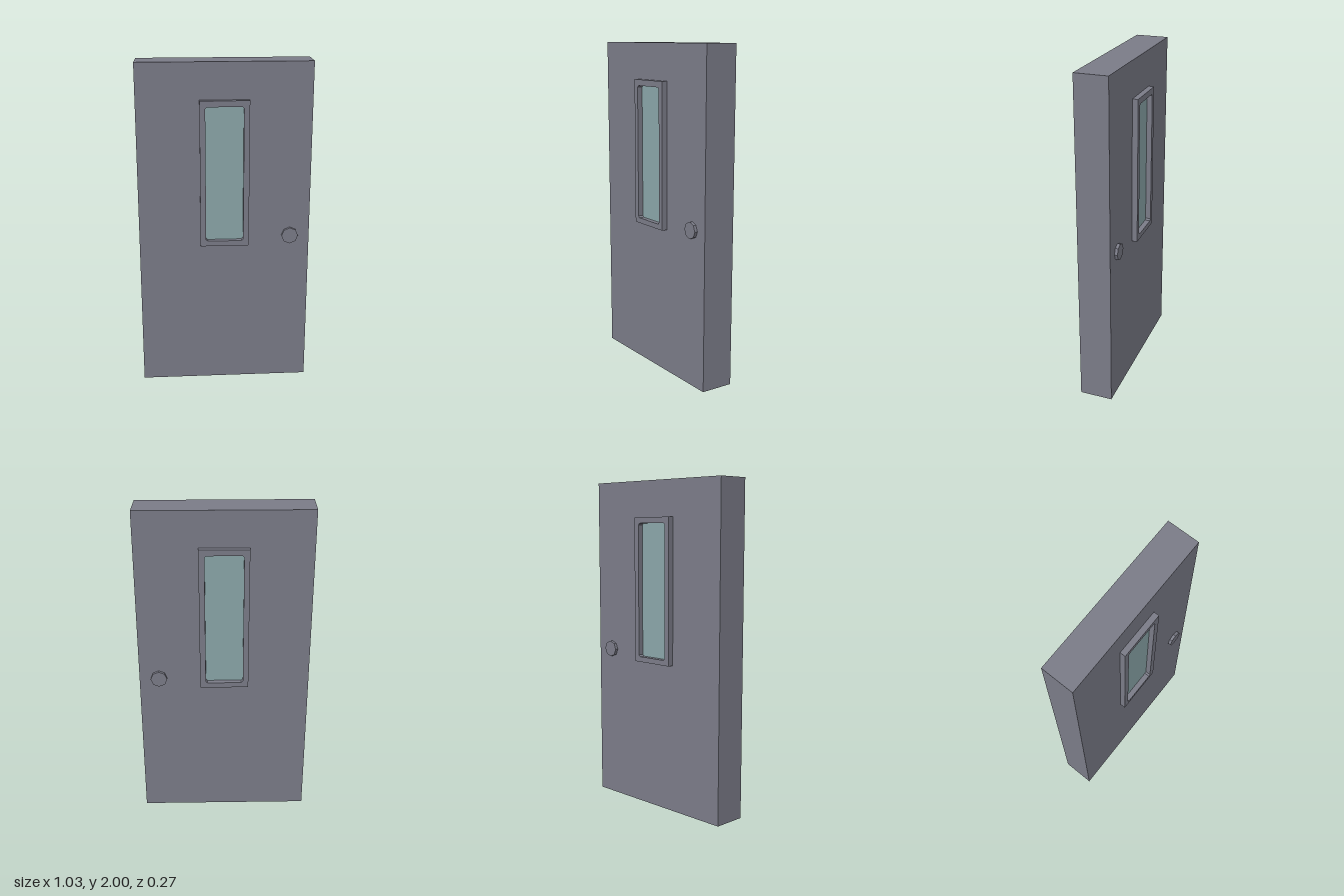
import * as THREE from 'three';

export function createModel() {
  const door = new THREE.Group();
  door.name = 'door';

  const metal = new THREE.MeshStandardMaterial({ color: 0x7a7b87 });
  metal.name = 'grey metal';
  const glass = new THREE.MeshStandardMaterial({ color: 0x8aa5a8 });
  glass.name = 'pale teal glass';

  // The whole door leans slightly out of square when seen from above
  const skew = new THREE.Matrix4().set(
    1, 0, -0.02, 0,
    0, 1, 0, 0,
    -0.005, 0, 1, 0.002,
    0, 0, 0, 1
  );

  function add(name, geometry, material) {
    let g = geometry.index ? geometry.toNonIndexed() : geometry;
    g.applyMatrix4(skew);
    g.computeVertexNormals(); // flat faces
    const mesh = new THREE.Mesh(g, material);
    mesh.name = name;
    door.add(mesh);
  }

  // Rectangle with cut corners
  function cutRect(Type, x0, y0, x1, y1, c) {
    return new Type([
      [x0 + c, y0], [x1 - c, y0], [x1, y0 + c], [x1, y1 - c],
      [x1 - c, y1], [x0 + c, y1], [x0, y1 - c], [x0, y0 + c],
    ].map(([x, y]) => new THREE.Vector2(x, y)));
  }

  // Door leaf
  add('doorLeaf', new THREE.BoxGeometry(1.029, 2, 0.2).translate(0, 1, 0), metal);

  for (const [side, label] of [[1, 'front'], [-1, 'back']]) {
    // Window frame standing proud of the leaf
    const outline = new THREE.Shape([
      [-0.146, 0.903], [0.145, 0.903], [0.145, 1.783], [-0.146, 1.783],
    ].map(([x, y]) => new THREE.Vector2(x, y)));
    outline.holes.push(cutRect(THREE.Path, -0.113, 0.935, 0.111, 1.747, 0.01));
    const frame = new THREE.ExtrudeGeometry(outline, { depth: 0.038, bevelEnabled: false });
    frame.translate(0, 0, side > 0 ? 0.096 : -0.134);
    add(label + 'WindowFrame', frame, metal);

    // Glass pane set at the bottom of the frame
    const pane = new THREE.BoxGeometry(0.24, 0.83, 0.004);
    pane.translate(-0.001, 1.341, side * 0.1);
    add(label + 'GlassPane', pane, glass);

    // Octagonal door knob
    const knob = new THREE.CylinderGeometry(0.05, 0.05, 0.024, 8);
    knob.rotateX(Math.PI / 2).translate(0.396, 0.953, side * 0.106);
    add(label + 'Knob', knob, metal);
  }

  return door;
}
